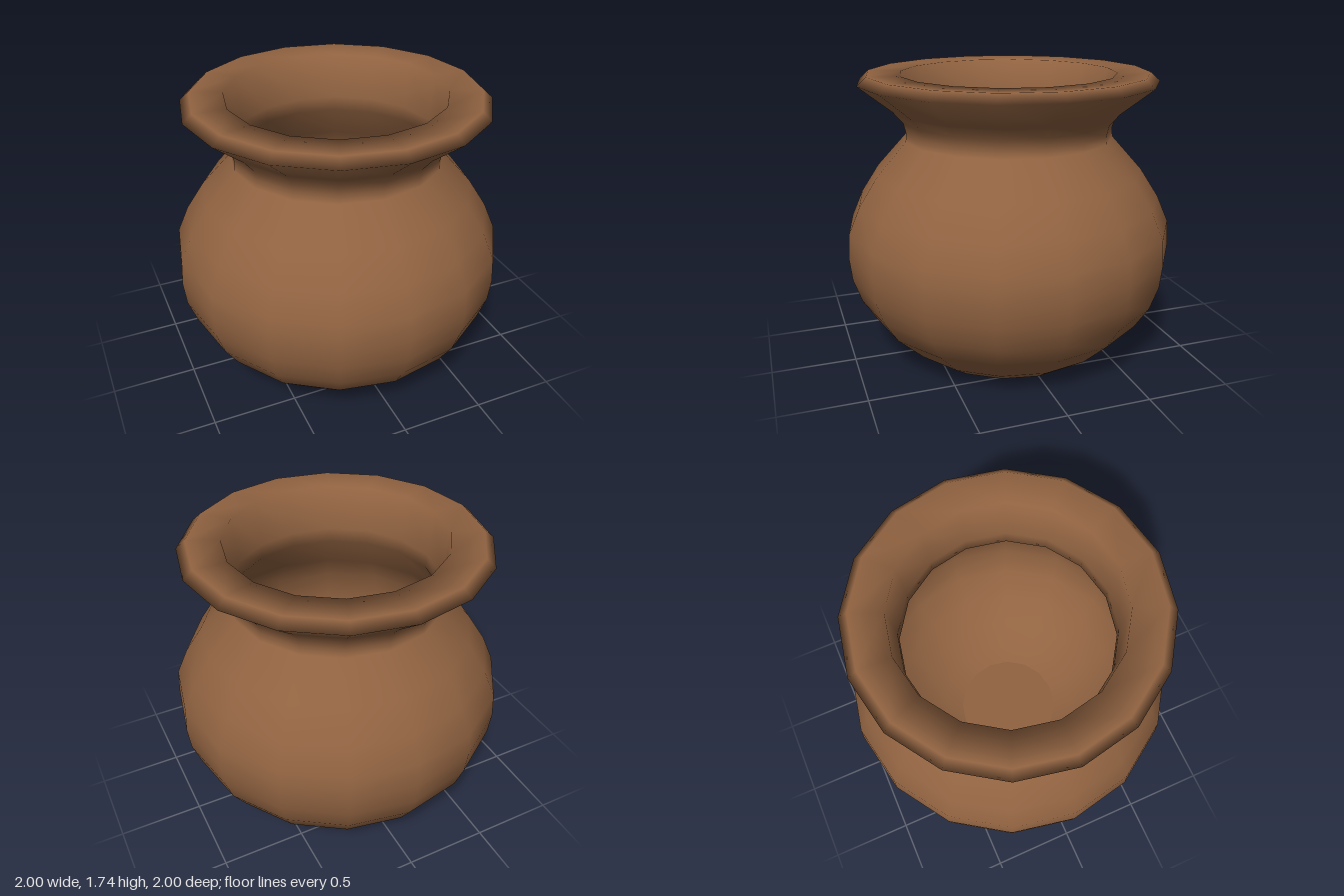
import * as THREE from 'three';

const SIDES = 16;

export function createModel() {
  const group = new THREE.Group();
  const clay = new THREE.MeshStandardMaterial({ color: 0x916341 });
  clay.name = 'brown clay';

  const add = (name, geometry) => {
    const mesh = new THREE.Mesh(geometry, clay);
    mesh.name = name;
    group.add(mesh);
    return mesh;
  };

  // Closed wall: outside from base to rim, over the lip, then down the inside to the floor
  const profile = [
    [0.56, 0], [0.68, 0.085], [0.85, 0.25], [0.935, 0.385], [0.985, 0.53],
    [1, 0.67], [0.99, 0.82], [0.92, 0.98], [0.81, 1.15], [0.63, 1.35],
    [0.625, 1.4], [0.64, 1.46], [0.7, 1.53], [0.895, 1.685], [0.84, 1.735],
    [0.645, 1.73], [0.615, 1.45], [0.615, 1.36], [0.77, 1.13], [0.88, 0.95],
    [0.92, 0.7], [0.86, 0.5], [0.74, 0.34], [0.6, 0.2], [0.45, 0.11], [0.33, 0.07],
  ].map(([r, y]) => new THREE.Vector2(r, y));
  add('potWall', new THREE.LatheGeometry(profile, SIDES));

  // Flat underside
  add('base', new THREE.CircleGeometry(0.56, SIDES).rotateX(Math.PI / 2));

  // Flat floor inside the pot
  add('innerFloor', new THREE.CircleGeometry(0.33, SIDES).rotateX(-Math.PI / 2)).position.y = 0.07;

  return group;
}
